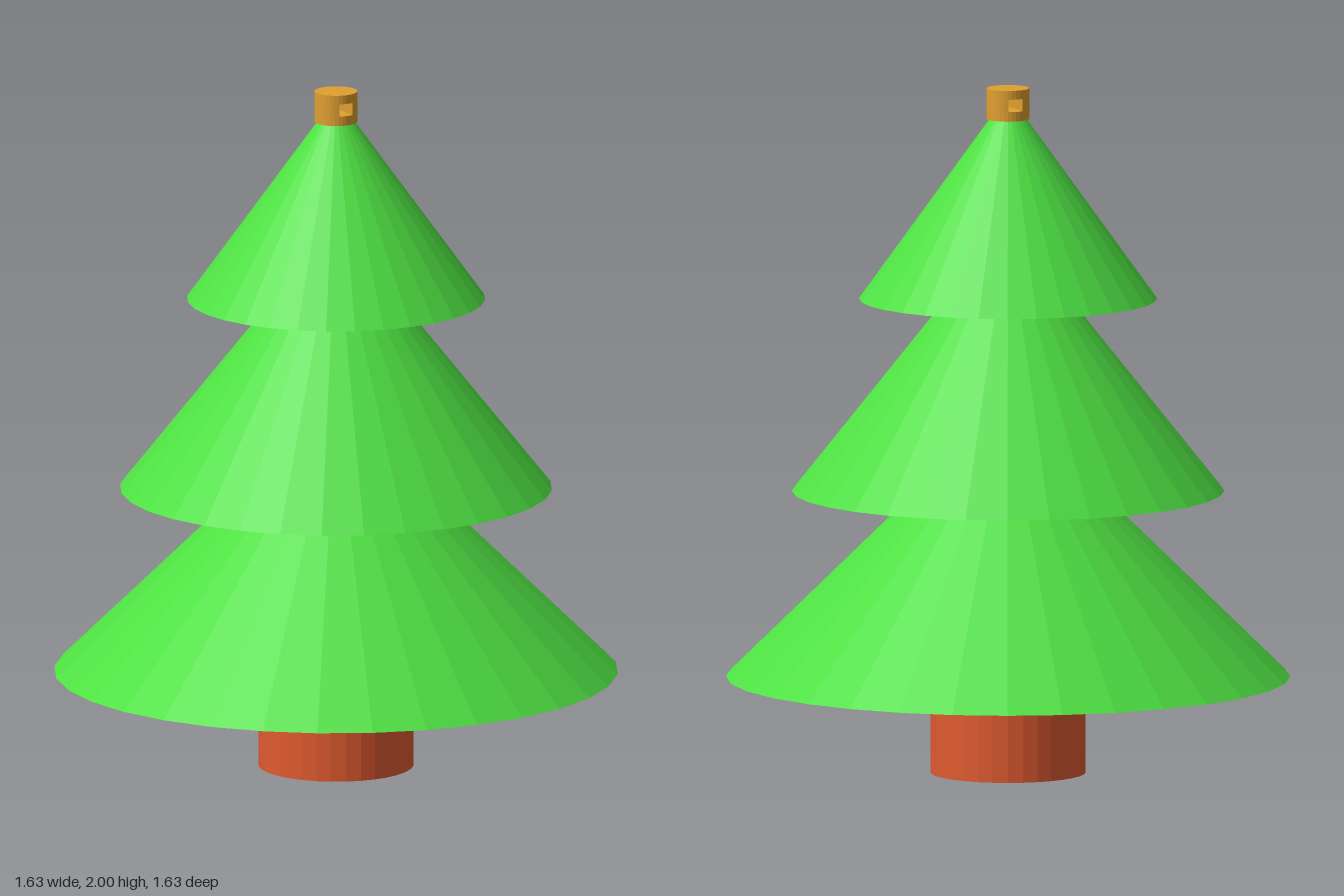
import * as THREE from 'three';

const SIDES = 32;

function material(name, color) {
  const m = new THREE.MeshStandardMaterial({ color, flatShading: true });
  m.name = name;
  return m;
}

export function createModel() {
  const green = material('leaf green', 0x4ee042);
  const brown = material('trunk orange brown', 0xe05a30);
  const gold = material('cap gold', 0xe0a030);

  const tree = new THREE.Group();
  tree.name = 'tree';

  // Upright round solid from y0 to y1
  function drum(name, mat, r0, r1, y0, y1, parent = tree) {
    const mesh = new THREE.Mesh(new THREE.CylinderGeometry(r1, r0, y1 - y0, SIDES), mat);
    mesh.position.y = (y0 + y1) / 2;
    mesh.name = name;
    parent.add(mesh);
  }

  drum('trunk', brown, 0.225, 0.225, 0, 0.28);

  // Three tiers of branches, each tucked into the one above
  drum('lowerBranches', green, 0.817, 0.26, 0.28, 0.826);
  drum('middleBranches', green, 0.626, 0.177, 0.823, 1.387);
  drum('upperBranches', green, 0.432, 0.052, 1.385, 1.912);

  // Hanging cap with a square hole running front to back
  const cap = new THREE.Group();
  cap.name = 'cap';
  tree.add(cap);
  const r = 0.062, half = 0.022, holeBottom = 1.938, holeTop = 1.974;
  drum('capBase', gold, r, r, 1.91, holeBottom, cap);
  drum('capTop', gold, r, r, holeTop, 2, cap);

  // Side walls of the hole: circle segments beyond the chord
  const a = Math.acos(half / r);
  const segment = new THREE.Shape().absarc(0, 0, r, -a, a, false);
  for (const turn of [0, Math.PI]) {
    const geo = new THREE.ExtrudeGeometry(segment, {
      depth: holeTop - holeBottom, bevelEnabled: false, curveSegments: 12,
    });
    geo.rotateX(-Math.PI / 2).rotateY(turn);
    const wall = new THREE.Mesh(geo, gold);
    wall.position.y = holeBottom;
    wall.name = turn ? 'capWallRight' : 'capWallLeft';
    cap.add(wall);
  }

  return tree;
}
